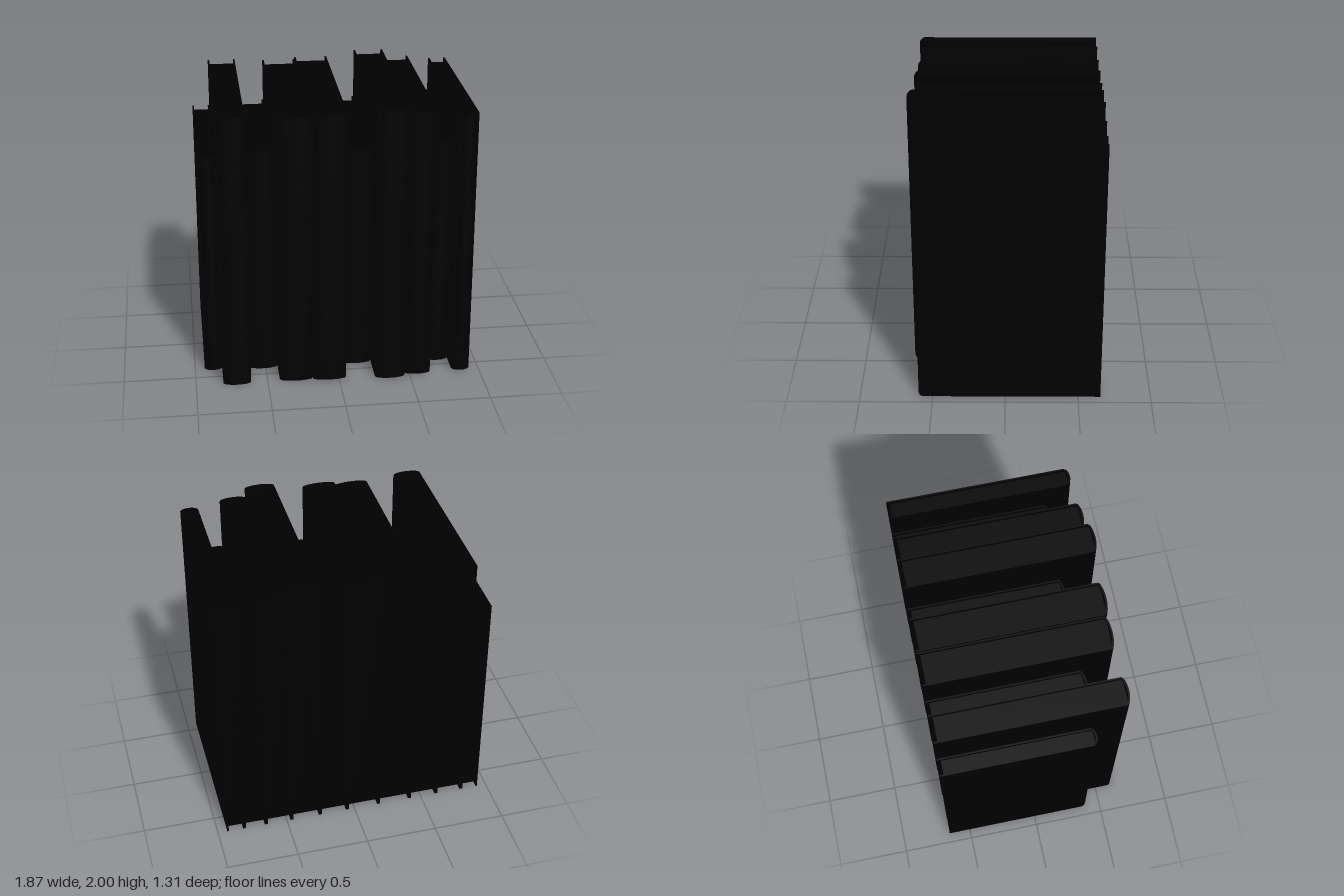
import * as THREE from 'three';

const BACK = -0.655; // fore-edge of the covers
const BOARD = 0.011; // cover thickness
const INSET = 0.025; // how far the pages sit inside the covers

// x start, x end, height, front of spine
const BOOKS = [
  [-0.933, -0.81, 1.62, 0.405], [-0.81, -0.617, 1.963, 0.63],
  [-0.617, -0.415, 1.648, 0.42], [-0.415, -0.182, 1.947, 0.62],
  [-0.182, 0.052, 1.963, 0.632], [0.052, 0.254, 1.648, 0.42],
  [0.254, 0.463, 2.0, 0.655], [0.463, 0.65, 1.947, 0.62],
  [0.65, 0.808, 1.678, 0.44], [0.808, 0.933, 1.92, 0.6],
];

const material = new THREE.MeshStandardMaterial({ color: 0x000000 });

function addMesh(group, name, geometry, x, y, z) {
  const mesh = new THREE.Mesh(geometry, material);
  mesh.name = name;
  mesh.position.set(x, y, z);
  group.add(mesh);
}

// Bowed strip, drawn in plan (shape y = -z) and raised to the book's height
function spineGeometry(width, height) {
  const h = width / 2 - 0.006, t = 0.012;
  const shape = new THREE.Shape();
  shape.moveTo(-h, 0.034);
  shape.lineTo(-h, 0.02);
  shape.quadraticCurveTo(-h * 0.6, 0, 0, 0);
  shape.quadraticCurveTo(h * 0.6, 0, h, 0.02);
  shape.lineTo(h, 0.034);
  shape.quadraticCurveTo(h * 0.6, t, 0, t);
  shape.quadraticCurveTo(-h * 0.6, t, -h, 0.034);
  const geometry = new THREE.ExtrudeGeometry(shape, { depth: height, bevelEnabled: false, curveSegments: 8 });
  return geometry.rotateX(-Math.PI / 2);
}

function createBook([x0, x1, height, front]) {
  const book = new THREE.Group();
  book.name = 'book';
  const width = x1 - x0, hinge = front - 0.028;

  // Covers
  const depth = hinge - BACK;
  for (const side of [-1, 1]) {
    addMesh(book, side < 0 ? 'rightCover' : 'leftCover', new THREE.BoxGeometry(BOARD, height, depth),
      side * (width - BOARD) / 2, height / 2, (BACK + hinge) / 2);
  }

  // Rounded spine
  addMesh(book, 'spine', spineGeometry(width, height), 0, 0, front);

  // Page block
  const pageBack = BACK + INSET, pageFront = front - 0.02;
  addMesh(book, 'pages', new THREE.BoxGeometry(width - 2 * BOARD, height - 2 * INSET, pageFront - pageBack),
    0, height / 2, (pageBack + pageFront) / 2);

  book.position.x = (x0 + x1) / 2;
  return book;
}

export function createModel() {
  const model = new THREE.Group();
  model.name = 'bookRow';
  for (const spec of BOOKS) model.add(createBook(spec));
  return model;
}
